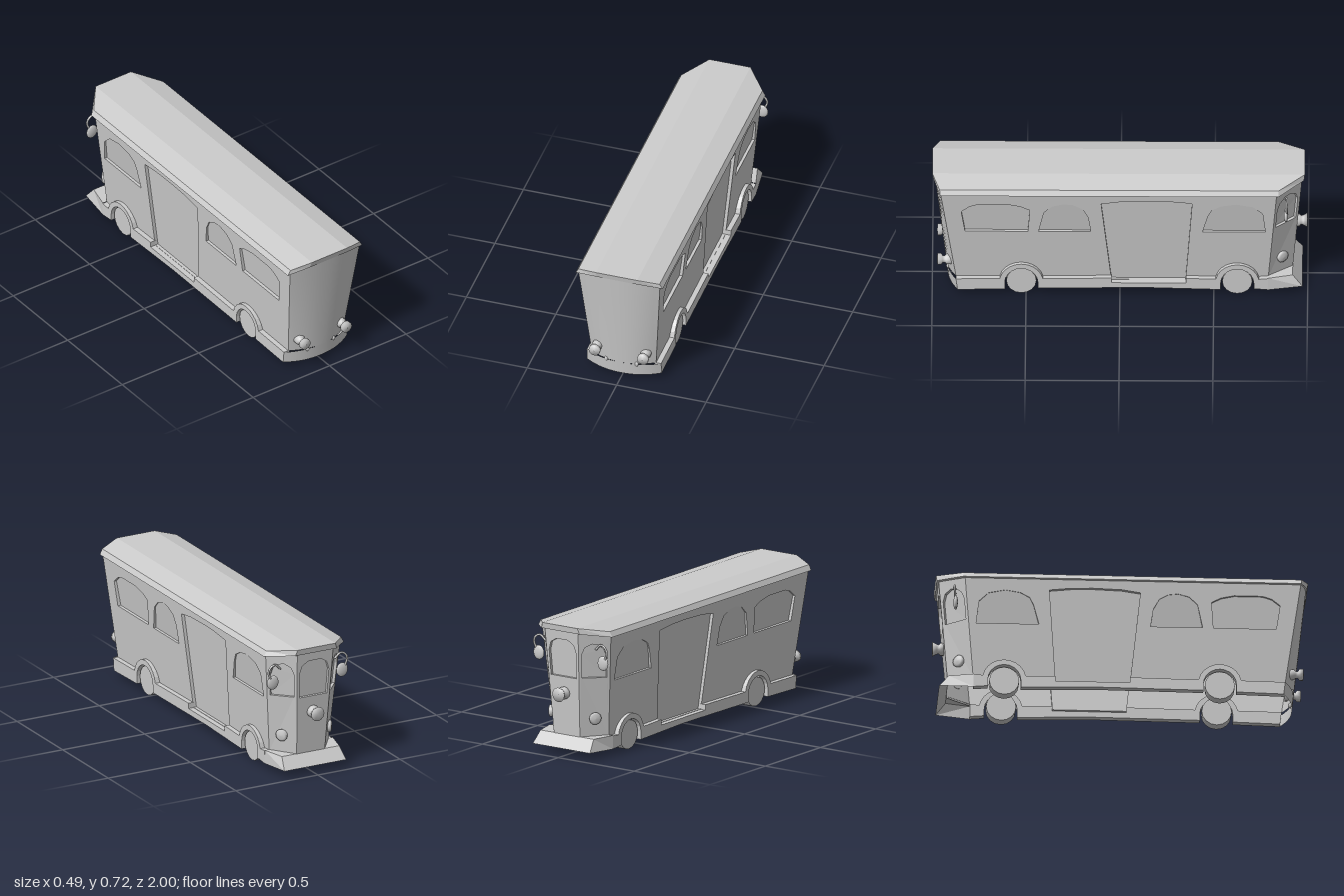
import * as THREE from 'three';

const mat = new THREE.MeshStandardMaterial({ color: 0xcccccc, side: THREE.DoubleSide });
const lerp = THREE.MathUtils.lerp;
const ramp = (y, a, b) => lerp(a, b, (y - 0.1) / 0.565);

// body outline at height y
const halfWidth = y => ramp(y, 0.18, 0.227);
const frontCorner = y => ramp(y, 0.873, 0.955);
const frontMiddle = y => ramp(y, 0.927, 0.988);
const backCorner = y => ramp(y, -0.79, -0.835);
const backMiddle = y => ramp(y, -0.92, -0.968);
const backHalf = y => ramp(y, 0.085, 0.108);

function add(parent, name, geometry, pos = [0, 0, 0]) {
  const mesh = new THREE.Mesh(geometry, mat);
  mesh.name = name;
  mesh.position.set(...pos);
  parent.add(mesh);
  return mesh;
}

// surface through rows of points
function loft(rows, smooth = false) {
  const n = rows[0].length, index = [];
  for (let i = 0; i < rows.length - 1; i++) {
    for (let j = 0; j < n - 1; j++) {
      const a = i * n + j, b = a + n;
      index.push(a, a + 1, b, b, a + 1, b + 1);
    }
  }
  let g = new THREE.BufferGeometry();
  g.setAttribute('position', new THREE.Float32BufferAttribute(rows.flat(2), 3));
  g.setIndex(index);
  if (!smooth) g = g.toNonIndexed();
  g.computeVertexNormals();
  return g;
}

const toPath = (C, pts) => new C(pts.map(p => new THREE.Vector2(...p)));

// flat sheet in (u, v) put in place by map(u, v, depth)
function sheet(pts, map, depth, holes = []) {
  const shape = toPath(THREE.Shape, pts);
  shape.holes = holes.map(h => toPath(THREE.Path, h));
  const g = new THREE.ShapeGeometry(shape).toNonIndexed();
  const p = g.attributes.position;
  for (let i = 0; i < p.count; i++) {
    const u = p.getX(i), v = p.getY(i);
    p.setXYZ(i, ...map(u, v, depth(v)));
  }
  g.computeVertexNormals();
  return g;
}

// wall with recessed openings: { name, pts, low, high } (depth at bottom and top)
function wall(parent, name, outline, map, recesses) {
  add(parent, name, sheet(outline, map, () => 0, recesses.map(r => r.pts)));
  for (const r of recesses) {
    const ys = r.pts.map(p => p[1]), y0 = Math.min(...ys), y1 = Math.max(...ys);
    const depth = y => lerp(r.low, r.high, (y - y0) / (y1 - y0));
    const ring = [...r.pts, r.pts[0]];
    add(parent, r.name, sheet(r.pts, map, depth));
    add(parent, r.name + 'Frame', loft([
      ring.map(([u, v]) => map(u, v, 0)), ring.map(([u, v]) => map(u, v, depth(v)))]));
  }
}

function arc(cz, cy, r, a0, a1, n = 10) {
  return Array.from({ length: n + 1 }, (_, i) => {
    const a = lerp(a0, a1, i / n);
    return [cz + r * Math.cos(a), cy + r * Math.sin(a)];
  });
}

// round lamp turned about its own axis and aimed along dir
function lamp(parent, name, profile, pos, dir) {
  const m = add(parent, name, new THREE.LatheGeometry(toPath(THREE.Path, profile).getPoints(), 12), pos);
  m.quaternion.setFromUnitVectors(new THREE.Vector3(0, 1, 0), new THREE.Vector3(...dir).normalize());
}

const WHEELS = [0.525, -0.625];

// everything on the -x side; mirrored for the other
function buildSide() {
  const side = new THREE.Group();

  // side wall with wheel openings, windows and door
  const sideMap = (z, y, d) => [-(halfWidth(y) - d), y, z];
  const outline = [
    [backCorner(0.07), 0.07], [backCorner(0.665), 0.665],
    [frontCorner(0.665), 0.665], [frontCorner(0.07), 0.07],
    ...WHEELS.flatMap(z => arc(z, 0.08, 0.1, -0.1, Math.PI + 0.1))];
  wall(side, 'sideWall', outline, sideMap, [
    { name: 'frontWindow', low: 0.018, high: 0.012, pts: [
      [0.825, 0.41], [0.49, 0.41], [0.48, 0.555], [0.53, 0.58], [0.6, 0.595], [0.75, 0.595], [0.8, 0.58], [0.845, 0.545]] },
    { name: 'middleWindow', low: 0.016, high: 0.003, pts: [
      [0.433, 0.41], [0.155, 0.41], [0.17, 0.51], [0.2, 0.565], [0.25, 0.592], [0.3, 0.598], [0.36, 0.582], [0.405, 0.54]] },
    { name: 'rearWindow', low: 0.016, high: 0.003, pts: [
      [-0.44, 0.41], [-0.775, 0.41], [-0.76, 0.535], [-0.71, 0.582], [-0.62, 0.6], [-0.54, 0.587], [-0.49, 0.56], [-0.47, 0.52]] },
    { name: 'door', low: 0.018, high: 0.018, pts: [
      [0.045, 0.08], [-0.35, 0.08], [-0.385, 0.605], [-0.27, 0.617], [-0.15, 0.62], [0, 0.615], [0.1, 0.6]] }]);

  // skirt with raised wheel arches and a lowered door sill
  const [w1, w2] = WHEELS;
  const archTop = z => arc(z, 0.08, 0.117, 0.2, Math.PI - 0.2);
  const archIn = z => [[z - 0.088, 0.042], ...arc(z, 0.08, 0.088, Math.PI, 0), [z + 0.088, 0.036]];
  const skirt = [
    [0.865, 0.03], [0.873, 0.1], ...archTop(w1), [0.046, 0.108], [0.046, 0.078],
    [-0.351, 0.078], [-0.351, 0.108], ...archTop(w2), [-0.79, 0.108], [-0.79, 0.035],
    ...archIn(w2), [-0.15, 0.047], ...archIn(w1)];
  const g = new THREE.ExtrudeGeometry(toPath(THREE.Shape, skirt), { depth: 0.036, bevelEnabled: false });
  add(side, 'skirt', g.rotateY(-Math.PI / 2), [-0.172, 0, 0]);

  for (const z of WHEELS) {
    add(side, 'wheel', new THREE.CylinderGeometry(0.08, 0.08, 0.058, 16).rotateZ(Math.PI / 2), [-0.164, 0.08, z]);
  }

  // angled end panel with arched window
  const angledMap = (u, y, d) => [
    -lerp(halfWidth(y), backHalf(y), u) + d * 0.8, y, lerp(backCorner(y), backMiddle(y), u) + d * 0.6];
  wall(side, 'angledPanel', [[0, 0.1], [1, 0.1], [1, 0.69], [0, 0.665]], angledMap, [
    { name: 'angledWindow', low: 0.016, high: 0.016, pts: [
      [0.1, 0.435], [0.9, 0.44], [0.9, 0.57], [0.8, 0.61], [0.58, 0.628], [0.38, 0.622], [0.18, 0.59], [0.1, 0.55]] }]);
  lamp(side, 'sideLamp', [[0.03, -0.005], [0.034, 0.012], [0.022, 0.018], [0, 0.02]],
    [-0.14, 0.21, -0.862], [-0.82, 0, -0.57]);

  // wing mirror on a hooked arm
  const hook = new THREE.CatmullRomCurve3([
    [-0.165, 0.595, -0.885], [-0.2, 0.625, -0.89], [-0.228, 0.612, -0.89], [-0.239, 0.585, -0.89], [-0.225, 0.545, -0.888],
  ].map(p => new THREE.Vector3(...p)));
  add(side, 'mirrorArm', new THREE.TubeGeometry(hook, 14, 0.006, 6));
  add(side, 'mirror', new THREE.SphereGeometry(1, 14, 8).scale(0.035, 0.04, 0.012), [-0.211, 0.525, -0.885]);

  // lamps on the +z face
  lamp(side, 'frontLamp', [[0, -0.025], [0.028, -0.025], [0.028, 0.012], [0.019, 0.02], [0.019, 0.032], [0.031, 0.04], [0.031, 0.06], [0, 0.064]],
    [-0.135, 0.178, 0.912], [0, 0, 1]);
  add(side, 'stud', new THREE.SphereGeometry(1, 8, 6).scale(0.011, 0.016, 0.012), [-0.085, 0.1, 0.914]);
  return side;
}

export function createModel() {
  const model = new THREE.Group();
  const right = buildSide(), left = buildSide();
  right.name = 'rightSide';
  left.name = 'leftSide';
  left.scale.x = -1;
  model.add(right, left);

  // bowed +z wall, wider below the skirt line
  const frontRow = (y, w, sag, drop) => Array.from({ length: 17 }, (_, i) => {
    const t = i / 8 - 1, x = w * t;
    const yy = y - drop * Math.max(0, (Math.abs(x) - 0.12) / (w - 0.12)) - sag * (1 - t * t);
    return [x, yy, lerp(frontCorner(yy), frontMiddle(yy), 1 - Math.abs(t) ** 2.2)];
  });
  add(model, 'frontWall', loft([frontRow(0.1, 0.18, 0, 0), frontRow(0.4, halfWidth(0.4), 0, 0), frontRow(0.69, 0.227, 0, 0.025)], true));
  add(model, 'frontApron', loft([frontRow(0.03, 0.208, 0.005, 0), frontRow(0.1, 0.208, 0, 0)], true));

  // middle -z panel with its window and lamp
  const backMap = (u, y, d) => [u * backHalf(y), y, backMiddle(y) + d];
  wall(model, 'backPanel', [[-1, 0.1], [1, 0.1], [1, 0.69], [-1, 0.69]], backMap, [
    { name: 'backWindow', low: 0.016, high: 0.016, pts: [
      [-0.85, 0.435], [0.85, 0.435], [0.85, 0.575], [0.7, 0.62], [0.35, 0.643], [-0.35, 0.643], [-0.7, 0.62], [-0.85, 0.575]] }]);
  lamp(model, 'backLamp', [[0, -0.01], [0.034, -0.01], [0.034, 0.018], [0.024, 0.024], [0.027, 0.036], [0.04, 0.06], [0, 0.06]],
    [0, 0.345, -0.939], [0, 0, -1]);

  // flared bumper round the -z end
  const mirrored = pts => [...pts, ...pts.slice().reverse().map(([x, y, z]) => [-x, y, z])];
  add(model, 'bumper', loft([
    mirrored([[-0.178, 0.11, -0.79], [-0.085, 0.11, -0.92]]),
    mirrored([[-0.207, 0.11, -0.79], [-0.175, 0.11, -0.92]]),
    mirrored([[-0.208, 0.035, -0.79], [-0.188, 0.045, -0.972]])]));

  // roof: crowned top, sloping rim, narrow soffit
  const ring = (xe, ye, xm, ym, fm, fc, bc, bm) => {
    const half = mirrored([[-xe, ye, fc], [-xm, ym, fm]]);
    const back = mirrored([[xe, ye, bc], [xm, ym, bm]]);
    return [...half, ...back, half[0]];
  };
  const top = ring(0.227, 0.694, 0.115, 0.723, 1, 0.96, -0.845, -0.985);
  const eave = ring(0.243, 0.665, 0.125, 0.691, 0.993, 0.957, -0.845, -0.98);
  const soffit = ring(0.222, 0.664, 0.108, 0.69, 0.983, 0.95, -0.832, -0.965);
  add(model, 'roofRim', loft([soffit, eave, top]));
  add(model, 'roofTop', loft([top.slice(0, 4), top.slice(4, 8).reverse()]));
  return model;
}
